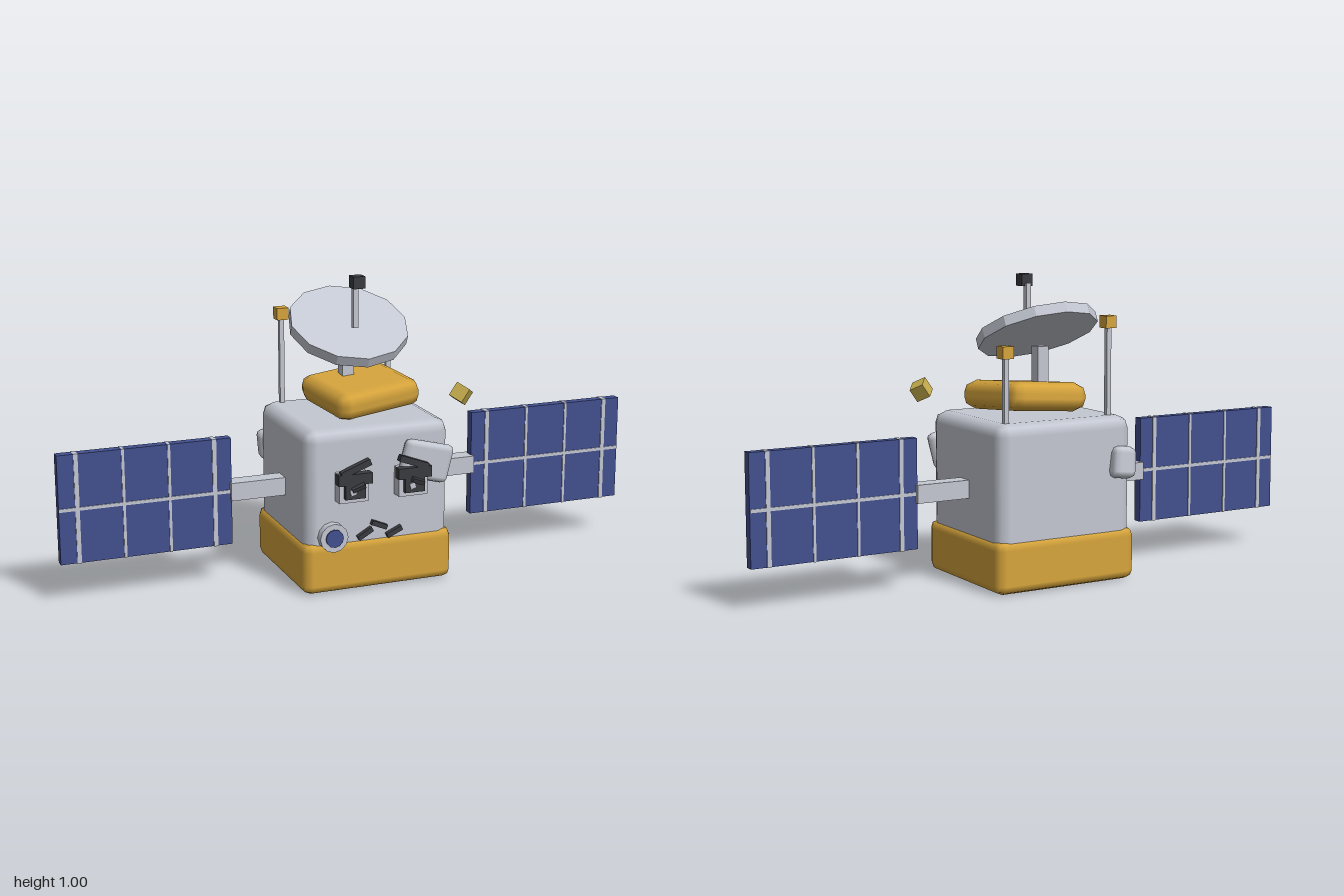
import * as THREE from 'three';
import { RoundedBoxGeometry } from 'three/addons/geometries/RoundedBoxGeometry.js';

const mat = (name, color) => {
  const m = new THREE.MeshStandardMaterial({ color });
  m.name = name;
  return m;
};

export function createModel() {
  const root = new THREE.Group();
  root.name = 'satellite';
  const grey = mat('light grey', 0xc4c8d2);
  const gold = mat('gold foil', 0xd6a43c);
  const blue = mat('solar blue', 0x42508f);
  const dark = mat('charcoal', 0x3a3b40);
  const brass = mat('pale brass', 0xc6ad4e);

  const add = (name, geo, material, pos, rot = [0, 0, 0], parent = root) => {
    const m = new THREE.Mesh(geo, material);
    m.name = name;
    m.position.set(...pos);
    m.rotation.set(...rot);
    parent.add(m);
    return m;
  };
  const box = (name, material, size, pos, rot, parent) =>
    add(name, new THREE.BoxGeometry(...size), material, pos, rot, parent);
  const soft = (name, material, size, r, pos, rot) =>
    add(name, new RoundedBoxGeometry(...size, 1, r), material, pos, rot);

  // Hull, foil base and tilted foil cap
  soft('body', grey, [0.5, 0.445, 0.46], 0.04, [0, 0.3225, -0.02]);
  soft('base', gold, [0.52, 0.175, 0.48], 0.03, [0, 0.0875, -0.02]);
  soft('cap', gold, [0.31, 0.095, 0.3], 0.04, [0.033, 0.605, -0.038], [0.07, 0.15, 0.08]);

  // Solar wings with raised grid lines
  for (const s of [1, -1]) {
    const wing = new THREE.Group();
    wing.name = s > 0 ? 'leftWing' : 'rightWing';
    root.add(wing);
    box('arm', grey, [0.2, 0.06, 0.06], [s * 0.335, 0.315, -0.02], [0, 0, 0], wing);
    box('solarPanel', blue, [0.57, 0.36, 0.032], [s * 0.715, 0.315, -0.02], [0, 0, 0], wing);
    box('gridRow', grey, [0.568, 0.011, 0.038], [s * 0.715, 0.315, -0.02], [0, 0, 0], wing);
    [0.487, 0.638, 0.789, 0.94].forEach((x, i) =>
      box('gridColumn', grey, [i % 3 ? 0.009 : 0.014, 0.362, 0.038],
        [s * x, 0.315, -0.02], [0, 0, 0], wing));
  }

  // Dish on its post, with feed rod and tip
  box('dishPost', grey, [0.04, 0.17, 0.04], [0, 0.685, -0.08]);
  const dishGeo = new THREE.CylinderGeometry(0.2, 0.2, 0.035, 12).toNonIndexed();
  dishGeo.computeVertexNormals();
  add('dish', dishGeo, grey, [0, 0.82, -0.06], [0.457, 0, 0]);
  box('feedRod', grey, [0.018, 0.145, 0.018], [0, 0.898, 0]);
  box('feedTip', dark, [0.04, 0.04, 0.04], [0, 0.98, 0.02]);

  // Rear whip antennas of unequal height
  for (const [x, top] of [[-0.185, 0.85], [0.2, 0.77]]) {
    box('antennaPole', grey, [0.016, top - 0.5, 0.016], [x, (top + 0.5) / 2, -0.2]);
    box('antennaTip', gold, [0.04, 0.04, 0.04], [x, top, -0.2]);
  }

  // Stacked-block eyes with slanted brows
  for (const s of [1, -1]) {
    const eye = new THREE.Group();
    eye.name = s > 0 ? 'leftEye' : 'rightEye';
    eye.position.x = s * 0.103;
    root.add(eye);
    box('eyeBlock', grey, [0.1, 0.095, 0.06], [0, 0.36, 0.22], [0, 0, 0], eye);
    box('eyelid', dark, [0.115, 0.036, 0.03], [0, 0.393, 0.252], [0, 0, 0], eye);
    box('pupil', dark, [0.068, 0.052, 0.028], [0, 0.354, 0.252], [0, 0, 0], eye);
    box('glint', grey, [0.018, 0.018, 0.006], [-0.01, 0.352, 0.267], [0, 0, 0.3], eye);
    box('lash', dark, [0.045, 0.014, 0.02], [0.008, 0.367, 0.268], [0.3, 0, -0.4 * s], eye);
    box('brow', dark, [0.105, 0.021, 0.022], [-s * 0.003, 0.428, 0.256], [0, 0, -0.36 * s], eye);
  }

  // Loose hull patches
  soft('frontPatch', grey, [0.175, 0.128, 0.042], 0.02, [0.157, 0.417, 0.226], [0, 0, -0.25]);
  soft('rearPatch', grey, [0.09, 0.105, 0.06], 0.022, [-0.21, 0.393, -0.25], [0.1, 0.1, 0.12]);

  // Round sensor
  add('sensorRing', new THREE.CylinderGeometry(0.048, 0.048, 0.05, 12), grey,
    [-0.165, 0.195, 0.212], [Math.PI / 2, 0, 0]);
  add('sensorLens', new THREE.CylinderGeometry(0.03, 0.03, 0.006, 12), blue,
    [-0.165, 0.195, 0.239], [Math.PI / 2, 0, 0]);

  // Crooked mouth
  for (const [x, y, a] of [[-0.052, 0.193, 0.52], [-0.003, 0.217, -0.4], [0.05, 0.188, 0.42]])
    box('mouthBar', dark, [0.056, 0.016, 0.025], [x, y, 0.214], [0, 0, a]);

  // Drifting cube balanced on its diagonal
  const cube = box('driftingCube', brass, [0.05, 0.05, 0.05], [0.3, 0.618, 0.182]);
  cube.rotation.set(0, Math.PI / 4, -0.6155, 'ZYX');

  return root;
}
